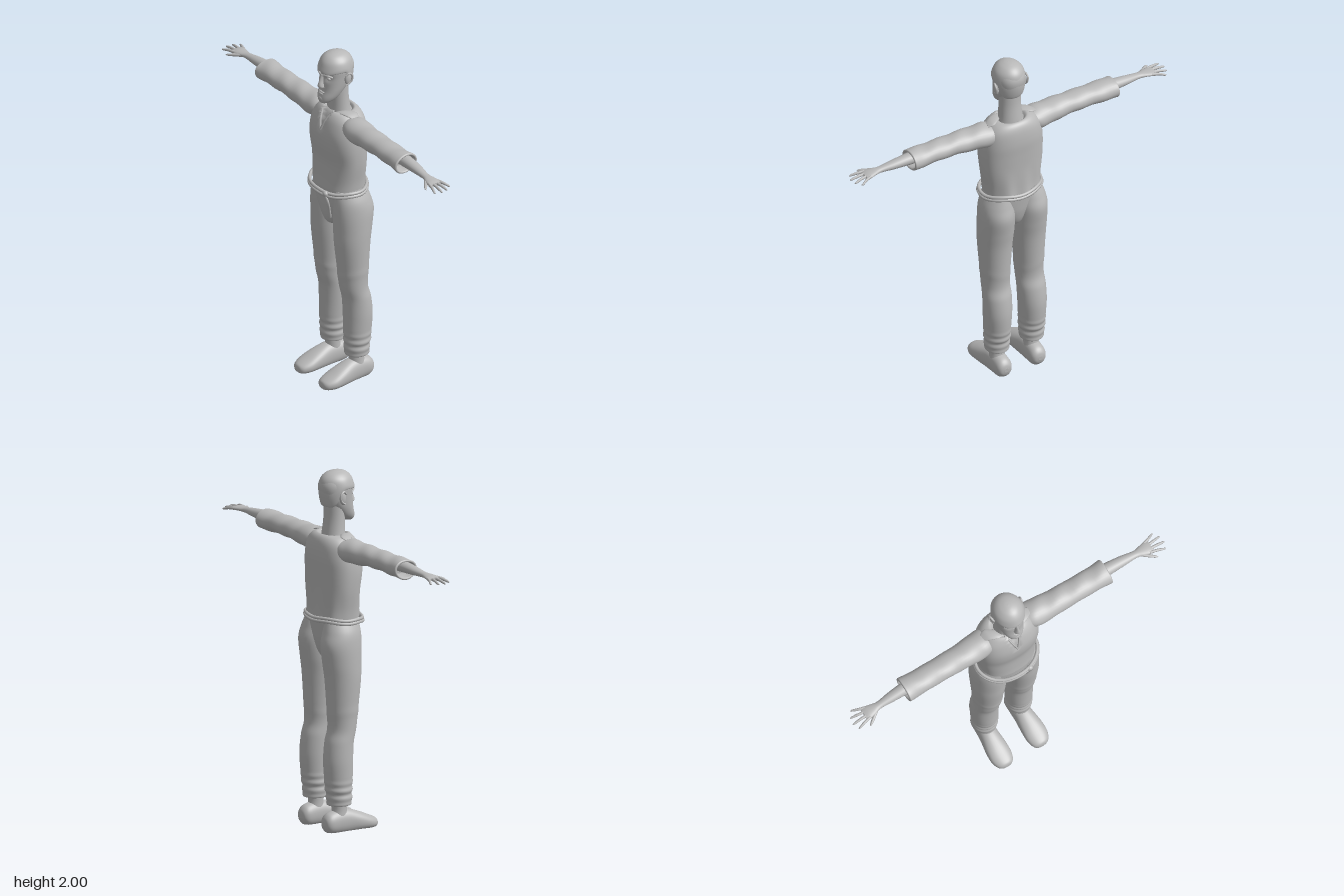
import * as THREE from 'three';

const CLAY = new THREE.MeshStandardMaterial({ color: 0xb8b8b8 });
CLAY.name = 'clay grey';

// Smooth loft through superellipse sections along one axis.
// Row: [t, centreU, centreV, radiusU, radiusV]; (u, v) is (x, z) for y, (z, y) for x, (y, x) for z.
function loft(axis, rows, { seg = 32, sub = 5, power = 2, deform } = {}) {
  const at = (i, k) => rows[Math.min(rows.length - 1, Math.max(0, i))][k];
  const rings = [];
  for (let i = 0; i < rows.length - 1; i++) {
    const last = i === rows.length - 2;
    for (let s = 0; s < sub + (last ? 1 : 0); s++) {
      const f = s / sub;
      rings.push([0, 1, 2, 3, 4].map((k) => {
        const p1 = at(i, k), p2 = at(i + 1, k);
        const m1 = (p2 - at(i - 1, k)) / 2, m2 = (at(i + 2, k) - p1) / 2;
        const f2 = f * f, f3 = f2 * f;
        return (2 * f3 - 3 * f2 + 1) * p1 + (f3 - 2 * f2 + f) * m1 + (3 * f2 - 2 * f3) * p2 + (f3 - f2) * m2;
      }));
    }
  }
  const pos = [], idx = [], v = new THREE.Vector3();
  const bend = (c) => Math.sign(c) * Math.abs(c) ** (2 / power);
  const put = (t, a, b) => {
    if (axis === 'y') v.set(a, t, b); else if (axis === 'x') v.set(t, b, a); else v.set(b, a, t);
    if (deform) deform(v);
    pos.push(v.x, v.y, v.z);
  };
  const ring = ([t, cu, cv, ru, rv]) => {
    for (let j = 0; j < seg; j++) {
      const th = j / seg * Math.PI * 2;
      put(t, cu + Math.max(ru, 0.0005) * bend(Math.cos(th)), cv + Math.max(rv, 0.0005) * bend(Math.sin(th)));
    }
  };
  rings.forEach(ring);
  for (let i = 0; i < rings.length - 1; i++) for (let j = 0; j < seg; j++) {
    const a = i * seg + j, b = i * seg + (j + 1) % seg;
    idx.push(a, a + seg, b, b, a + seg, b + seg);
  }
  // End caps
  [rings[0], rings[rings.length - 1]].forEach((r, end) => {
    const base = pos.length / 3;
    ring(r);
    put(r[0], r[1], r[2]);
    for (let j = 0; j < seg; j++) {
      const a = base + j, b = base + (j + 1) % seg;
      if (end) idx.push(base + seg, b, a); else idx.push(base + seg, a, b);
    }
  });
  const g = new THREE.BufferGeometry();
  g.setAttribute('position', new THREE.Float32BufferAttribute(pos, 3));
  g.setIndex(idx);
  g.computeVertexNormals();
  return g;
}

function mirrored(g) {
  const m = g.clone().scale(-1, 1, 1), ix = m.index.array;
  for (let i = 0; i < ix.length; i += 3) [ix[i], ix[i + 1]] = [ix[i + 1], ix[i]];
  m.computeVertexNormals();
  return m;
}

const curve = (pts, closed) => new THREE.CatmullRomCurve3(pts.map((p) => new THREE.Vector3(...p)), closed);
const cord = (pts, r, closed = false, n = 16) => new THREE.TubeGeometry(curve(pts, closed), n, r, 8, closed);
const blob = (x, y, z, rx, ry, rz) => new THREE.SphereGeometry(1, 20, 14).scale(rx, ry, rz).translate(x, y, z);

export function createModel() {
  const model = new THREE.Group();
  const add = (name, g) => {
    const m = new THREE.Mesh(g, CLAY);
    m.name = name;
    model.add(m);
  };
  const pair = (name, g) => { add(name + 'Left', g); add(name + 'Right', mirrored(g)); };

  // Shirt body with slit neck and soft folds at the back
  add('shirt', loft('y', [
    [1.195, 0, -0.03, 0.163, 0.125], [1.25, 0, -0.03, 0.168, 0.12], [1.35, 0, -0.03, 0.182, 0.117],
    [1.45, 0, -0.024, 0.188, 0.125], [1.53, 0, -0.025, 0.183, 0.126], [1.6, 0, -0.03, 0.165, 0.113],
    [1.64, 0, -0.032, 0.13, 0.095], [1.655, 0, -0.03, 0.092, 0.075], [1.64, 0, -0.028, 0.072, 0.064],
  ], {
    seg: 72, power: 2.3, deform: (v) => {
      if (v.z > 0 && v.y > 1.545 && Math.abs(v.x) < 0.35 * (v.y - 1.545)) v.z -= 0.014;
      if (v.z < -0.08 && v.y < 1.36) v.z += 0.005 * Math.sin(v.x * 60) * (1.36 - v.y) / 0.16;
    },
  }));
  pair('neckSlitEdge', cord([[0, 1.545, 0.098], [0.018, 1.597, 0.083], [0.036, 1.645, 0.056]], 0.006));
  pair('collarFold', loft('x', [
    [0.045, 0.012, 1.645, 0.02, 0.006], [0.08, -0.005, 1.653, 0.03, 0.008],
    [0.12, -0.025, 1.65, 0.035, 0.008], [0.15, -0.03, 1.64, 0.02, 0.004],
  ], { seg: 16 }));

  // Sleeves, hollow at the cuff; the right one is slightly longer
  const sleeve = (end) => loft('x', [
    [0.1, -0.03, 1.59, 0.06, 0.045], [0.15, -0.025, 1.583, 0.078, 0.062], [0.21, -0.02, 1.58, 0.078, 0.064],
    [0.3, -0.016, 1.584, 0.072, 0.058], [0.42, -0.015, 1.587, 0.069, 0.053], [0.55, -0.015, 1.585, 0.069, 0.054],
    [end - 0.02, -0.016, 1.584, 0.073, 0.056], [end, -0.016, 1.584, 0.073, 0.056],
    [end - 0.003, -0.016, 1.584, 0.06, 0.044], [end - 0.06, -0.016, 1.586, 0.054, 0.04],
  ], { deform: (v) => { v.y += 0.003 * Math.sin(v.x * 45 + v.z * 30); } });
  add('sleeveLeft', sleeve(0.635));
  add('sleeveRight', mirrored(sleeve(0.66)));

  // Forearms and hands
  pair('forearm', loft('x', [
    [0.54, -0.018, 1.598, 0.04, 0.034], [0.65, -0.018, 1.598, 0.036, 0.031],
    [0.74, -0.016, 1.595, 0.03, 0.024], [0.82, -0.012, 1.591, 0.022, 0.016],
    [0.86, -0.01, 1.59, 0.031, 0.014], [0.895, -0.01, 1.588, 0.039, 0.013], [0.92, -0.01, 1.586, 0.036, 0.009],
  ], { seg: 24 }));
  const fingers = [[-0.04, -0.066, 0.97], [-0.02, -0.033, 0.993], [0.001, 0.004, 1.0], [0.02, 0.04, 0.985]];
  fingers.forEach(([z0, z1, tip], i) => pair('finger' + (i + 1), loft('x', [
    [0.895, z0, 1.588, 0.009, 0.009], [(0.895 + tip) / 2, (z0 + z1) / 2, 1.585, 0.008, 0.008],
    [tip - 0.01, z1, 1.577, 0.006, 0.006], [tip, z1, 1.576, 0.001, 0.001],
  ], { seg: 12, sub: 4 })));
  pair('thumb', loft('x', [
    [0.84, 0.0, 1.588, 0.012, 0.01], [0.88, 0.03, 1.583, 0.012, 0.009],
    [0.91, 0.052, 1.578, 0.009, 0.007], [0.925, 0.06, 1.576, 0.001, 0.001],
  ], { seg: 12, sub: 4 }));

  // Neck and head
  add('neck', loft('y', [
    [1.6, 0, -0.028, 0.08, 0.066], [1.66, 0, -0.025, 0.069, 0.06],
    [1.74, 0, -0.02, 0.064, 0.055], [1.83, 0, -0.018, 0.064, 0.056],
  ]));
  add('head', loft('y', [
    [1.712, 0, 0.07, 0.024, 0.025], [1.725, 0, 0.06, 0.042, 0.042], [1.75, 0, 0.042, 0.058, 0.058],
    [1.785, 0, 0.022, 0.07, 0.068], [1.82, 0, 0.006, 0.077, 0.08], [1.87, 0, -0.008, 0.083, 0.093],
    [1.92, 0, -0.01, 0.085, 0.097], [1.96, 0, -0.012, 0.07, 0.077], [1.985, 0, -0.012, 0.035, 0.045],
  ], {
    seg: 48, power: 2.2, deform: (v) => {
      const eye = Math.exp(-(((Math.abs(v.x) - 0.036) / 0.02) ** 2) - ((v.y - 1.868) / 0.016) ** 2);
      if (v.z > 0.03) v.z -= 0.012 * eye;
    },
  }));
  // Close hair, lower at the nape than at the brow
  add('hair', loft('y', [
    [1.9, 0, -0.007, 0.082, 0.097], [1.903, 0, -0.008, 0.091, 0.107], [1.925, 0, -0.01, 0.091, 0.104],
    [1.96, 0, -0.009, 0.078, 0.089], [1.985, 0, -0.006, 0.053, 0.062], [1.997, 0, -0.004, 0.024, 0.03],
    [2.0, 0, -0.004, 0.001, 0.001],
  ], {
    seg: 48, deform: (v) => {
      const low = Math.max(0, 2 - v.y) / 0.1, back = THREE.MathUtils.smoothstep(-v.z, 0.0, 0.1);
      const tuck = low * low * back;
      v.y += -0.095 * tuck * low + 0.005 * low * low * (1 - back) * Math.cos(v.x * 70);
      v.z += 0.024 * tuck * low * low;
    },
  }));
  add('nose', loft('y', [
    [1.803, 0, 0.084, 0.008, 0.012], [1.81, 0, 0.089, 0.019, 0.02], [1.823, 0, 0.092, 0.016, 0.021],
    [1.85, 0, 0.086, 0.01, 0.019], [1.885, 0, 0.078, 0.01, 0.014],
  ], { seg: 16 }));
  add('upperLip', blob(0, 1.779, 0.088, 0.025, 0.006, 0.01));
  add('lowerLip', blob(0, 1.768, 0.09, 0.021, 0.006, 0.01));
  add('chin', blob(0, 1.737, 0.088, 0.026, 0.019, 0.017));
  pair('eye', blob(0.036, 1.867, 0.067, 0.014, 0.009, 0.01));
  pair('brow', cord([[0.012, 1.882, 0.086], [0.036, 1.889, 0.081], [0.062, 1.88, 0.058]], 0.007));
  pair('ear', blob(0.087, 1.86, -0.024, 0.012, 0.038, 0.02).rotateX(0));
  pair('earRim', cord([[0.09, 1.825, -0.012], [0.096, 1.845, -0.04], [0.1, 1.88, -0.045],
    [0.098, 1.898, -0.025], [0.092, 1.883, -0.006]], 0.006));

  // Trousers
  add('trouserSeat', loft('y', [
    [0.935, 0, -0.015, 0.018, 0.04], [0.96, 0, -0.02, 0.055, 0.075], [1.0, 0, -0.024, 0.09, 0.095],
    [1.06, 0, -0.028, 0.14, 0.107], [1.12, 0, -0.03, 0.175, 0.112], [1.2, 0, -0.032, 0.162, 0.117],
  ], { seg: 48 }));
  pair('trouserLeg', loft('y', [
    [0.165, 0.11, -0.066, 0.045, 0.05], [0.15, 0.11, -0.067, 0.06, 0.065], [0.16, 0.11, -0.067, 0.07, 0.07],
    [0.2, 0.11, -0.067, 0.071, 0.071], [0.25, 0.11, -0.07, 0.074, 0.076], [0.3, 0.11, -0.071, 0.075, 0.08],
    [0.4, 0.11, -0.073, 0.08, 0.083], [0.5, 0.108, -0.065, 0.081, 0.08], [0.58, 0.107, -0.046, 0.08, 0.079],
    [0.7, 0.107, -0.042, 0.086, 0.089], [0.85, 0.106, -0.039, 0.096, 0.102], [0.95, 0.104, -0.044, 0.1, 0.111],
    [1.05, 0.103, -0.048, 0.098, 0.119], [1.12, 0.097, -0.041, 0.092, 0.11], [1.185, 0.085, -0.034, 0.075, 0.098],
  ], {
    seg: 36, sub: 8, deform: (v) => {
      // Gathered folds above the ankle and a crease at the knee
      const fold = Math.max(0, 1 - Math.abs(v.y - 0.22) / 0.09) * 0.05 * Math.sin(v.y * 140)
        + 0.02 * Math.exp(-(((v.y - 0.62 - v.x * 0.3) / 0.02) ** 2));
      v.x += (v.x - 0.11) * fold;
      v.z += (v.z + 0.067) * fold;
    },
  }));

  // Rope belt, knot and hanging ends
  const loop = (r, lift) => Array.from({ length: 24 }, (_, i) => {
    const a = i / 24 * Math.PI * 2;
    return [r * 0.18 * Math.cos(a), 1.183 + lift - 0.008 * Math.sin(a) + 0.003 * Math.sin(5 * a),
      -0.022 + r * 0.14 * Math.sin(a)];
  });
  add('beltUpperCord', cord(loop(1, 0.008), 0.0095, true, 96));
  add('beltLowerCord', cord(loop(1.02, -0.008), 0.0095, true, 96));
  add('beltKnot', blob(0.068, 1.177, 0.112, 0.018, 0.016, 0.016));
  add('beltEndLong', cord([[0.072, 1.175, 0.118], [0.084, 1.13, 0.108], [0.076, 1.07, 0.092], [0.068, 1.02, 0.08]], 0.007));
  add('beltEndShort', cord([[0.07, 1.175, 0.116], [0.073, 1.12, 0.104], [0.066, 1.04, 0.084]], 0.006));

  // Ankles and shoes
  pair('ankle', loft('y', [
    [0.07, 0.11, -0.07, 0.046, 0.052], [0.12, 0.109, -0.064, 0.042, 0.043], [0.18, 0.109, -0.064, 0.042, 0.043],
  ], { seg: 24 }));
  pair('shoe', loft('z', [
    [-0.168, 0.05, 0.108, 0.012, 0.012], [-0.16, 0.05, 0.108, 0.036, 0.034], [-0.135, 0.05, 0.108, 0.058, 0.048],
    [-0.08, 0.052, 0.109, 0.068, 0.051], [-0.02, 0.05, 0.111, 0.069, 0.054], [0.05, 0.04, 0.114, 0.056, 0.062],
    [0.11, 0.028, 0.115, 0.042, 0.063], [0.15, 0.021, 0.114, 0.031, 0.05], [0.168, 0.018, 0.113, 0.022, 0.032],
    [0.174, 0.017, 0.113, 0.006, 0.01],
  ], { seg: 36, power: 2.2, deform: (v) => { v.y = Math.max(0, v.y); } }));

  return model;
}
